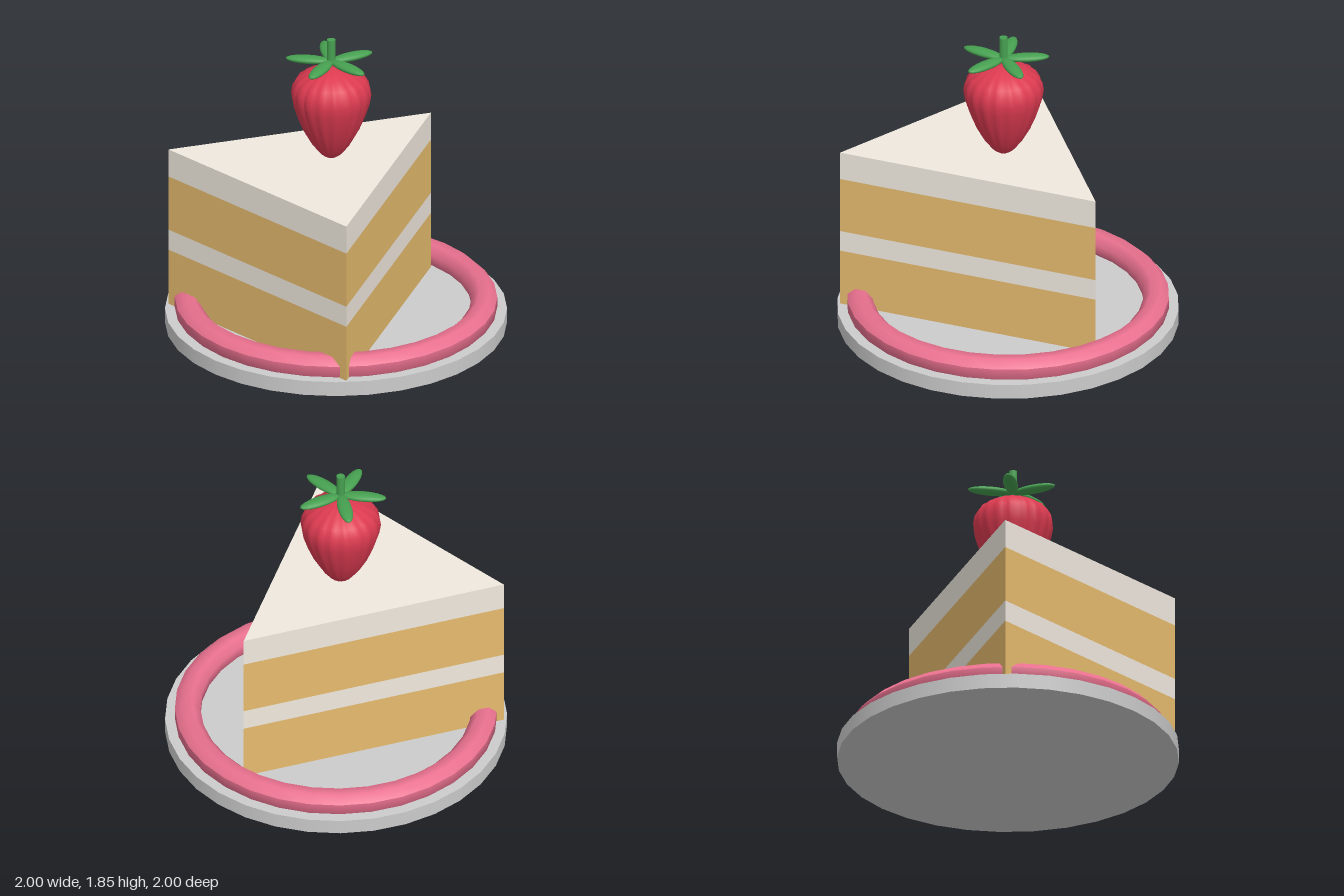
import * as THREE from 'three';

const mat = (color) => new THREE.MeshStandardMaterial({ color });

function add(parent, name, geometry, material, x = 0, y = 0, z = 0) {
  const mesh = new THREE.Mesh(geometry, material);
  mesh.name = name;
  mesh.position.set(x, y, z);
  parent.add(mesh);
  return mesh;
}

// Straight-sided triangular slab, lying flat with its point to the back
function wedge(height) {
  const shape = new THREE.Shape([
    new THREE.Vector2(-0.735, -0.65),
    new THREE.Vector2(0.735, -0.65),
    new THREE.Vector2(0, 0.785),
  ]);
  return new THREE.ExtrudeGeometry(shape, { depth: height, bevelEnabled: false }).rotateX(-Math.PI / 2);
}

// Ring with an octagonal section that has flat top, bottom and sides
function icingRing(radius, tube) {
  const points = [];
  for (let i = 0; i <= 8; i++) {
    const a = ((i + 0.5) / 8) * Math.PI * 2;
    points.push(new THREE.Vector2(radius + tube * Math.cos(a), tube * Math.sin(a)));
  }
  return new THREE.LatheGeometry(points, 32);
}

// Turned berry body with shallow vertical ribs
function berry() {
  const profile = [
    [0, 0], [0.035, 0.003], [0.065, 0.025], [0.115, 0.09], [0.165, 0.18], [0.2, 0.265],
    [0.226, 0.345], [0.236, 0.405], [0.228, 0.455], [0.2, 0.502], [0.135, 0.542], [0.06, 0.565], [0, 0.575],
  ].map(([r, y]) => new THREE.Vector2(r, y));
  const geometry = new THREE.LatheGeometry(profile, 72);
  const p = geometry.attributes.position;
  for (let i = 0; i < p.count; i++) {
    const x = p.getX(i), z = p.getZ(i);
    const k = 0.98 + 0.02 * Math.cos(18 * Math.atan2(z, x));
    p.setXYZ(i, x * k, p.getY(i), z * k);
  }
  geometry.computeVertexNormals();
  return geometry;
}

export function createModel() {
  const model = new THREE.Group();
  model.name = 'cakeSlice';
  const sponge = mat(0xe6bb6e), cream = mat(0xf0e9df), green = mat(0x46a050);

  // Plate and icing ring
  add(model, 'plate', new THREE.CylinderGeometry(1, 1, 0.09, 32), mat(0xcccccc), 0, 0.045, 0);
  add(model, 'icingRing', icingRing(0.868, 0.081), mat(0xe8708e), 0, 0.13, 0);

  // Cake layers from bottom to top
  const layers = [
    ['lowerSponge', 0.09, 0.44, sponge],
    ['creamFilling', 0.44, 0.57, cream],
    ['upperSponge', 0.57, 0.915, sponge],
    ['creamTopping', 0.915, 1.09, cream],
  ];
  for (const [name, y0, y1, material] of layers) add(model, name, wedge(y1 - y0), material, 0, y0, 0);

  // Strawberry with leaves and stem
  const strawberry = new THREE.Group();
  strawberry.name = 'strawberry';
  strawberry.position.set(0, 1.09, 0.04);
  model.add(strawberry);
  add(strawberry, 'berry', berry(), mat(0xdc3a50));
  add(strawberry, 'stem', new THREE.CylinderGeometry(0.025, 0.025, 0.14, 12), green, 0, 0.685, 0);
  const leaf = new THREE.SphereGeometry(1, 16, 12).scale(0.135, 0.023, 0.042).translate(0.135, 0, 0);
  for (let i = 0; i < 5; i++) {
    add(strawberry, 'leaf', leaf, green, 0, 0.617, 0).rotation.y = (i * Math.PI * 2) / 5;
  }
  return model;
}
